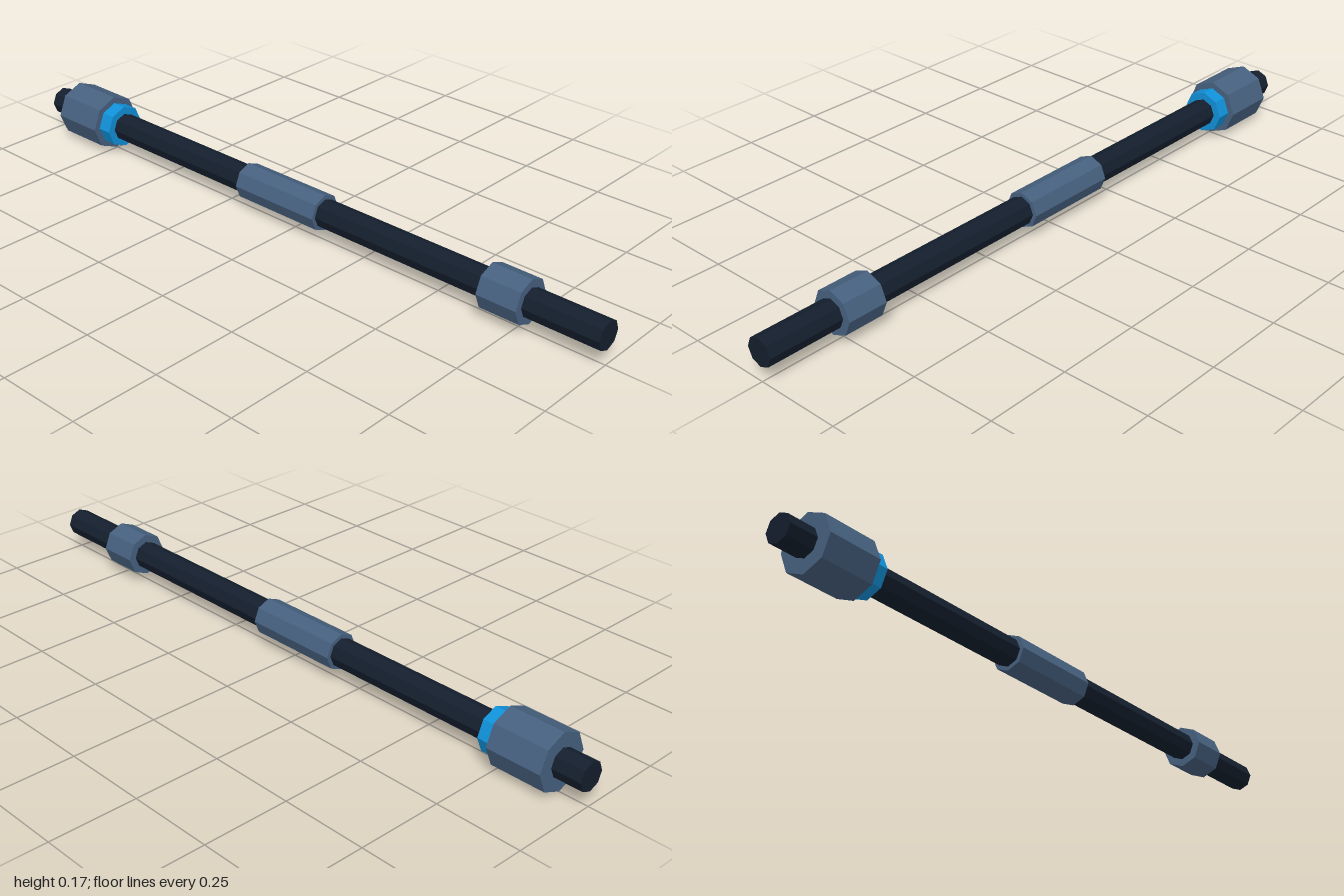
import * as THREE from 'three';

const AXIS_Y = 0.083;

export function createModel() {
  const model = new THREE.Group();
  model.name = 'rod';
  const material = (color) => new THREE.MeshStandardMaterial({ color, flatShading: true });
  const dark = material(0x141e2d);
  const steel = material(0x46607f);
  const blue = material(0x1090d8);

  // Octagonal section lying along x, with a corner pointing up
  const addSection = (name, x0, x1, radius, mat) => {
    const geometry = new THREE.CylinderGeometry(radius, radius, x1 - x0, 8);
    geometry.rotateZ(-Math.PI / 2);
    const mesh = new THREE.Mesh(geometry, mat);
    mesh.name = name;
    mesh.position.set((x0 + x1) / 2, AXIS_Y, 0);
    model.add(mesh);
  };

  addSection('shaft', -1, 1, 0.041, dark);
  addSection('endWeight', -0.915, -0.752, 0.083, steel);
  addSection('blueRing', -0.752, -0.709, 0.064, blue);
  addSection('middleGrip', -0.18, 0.108, 0.053, steel);
  addSection('collar', 0.66, 0.78, 0.064, steel);

  return model;
}
